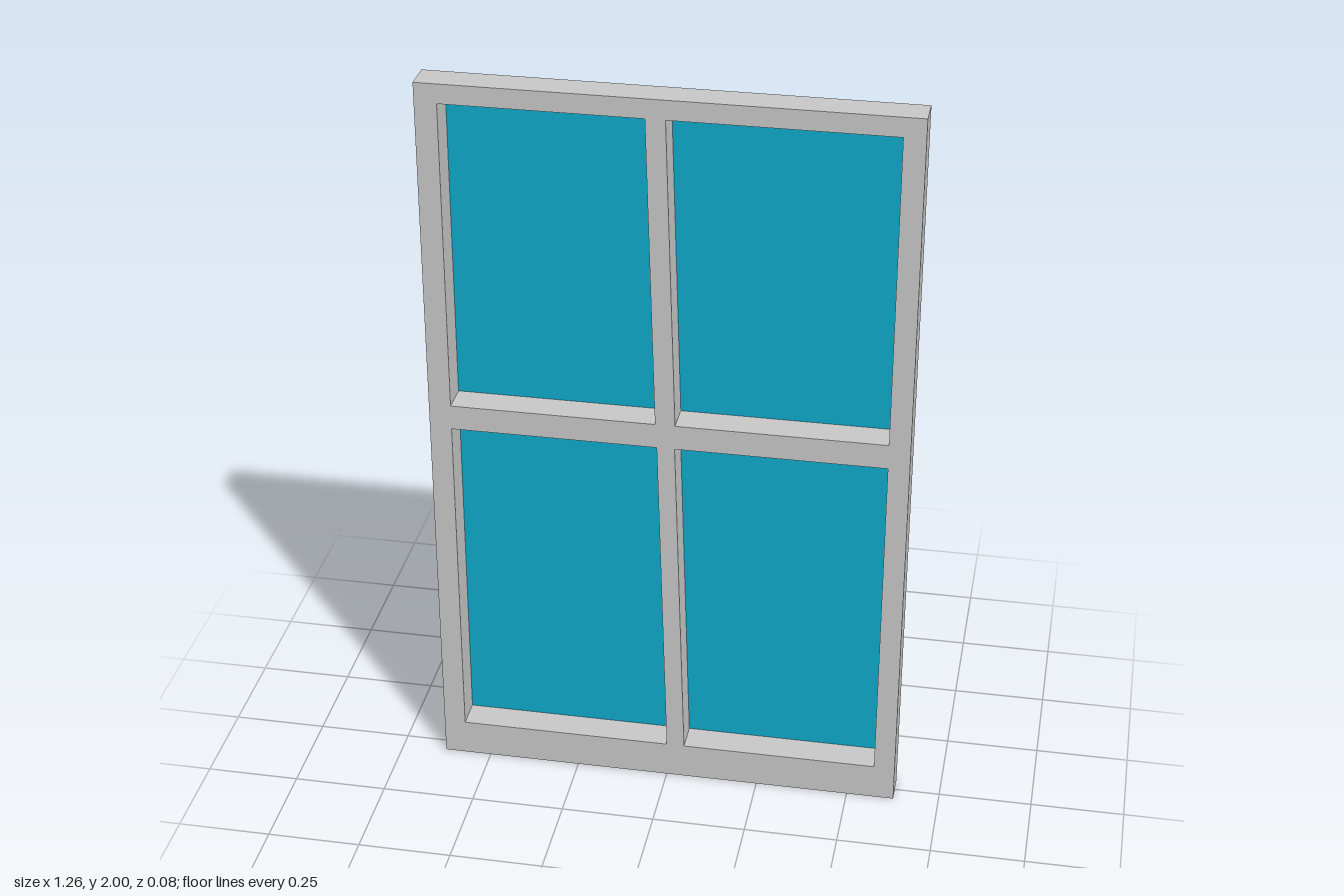
import * as THREE from 'three';

const HALF_DEPTH = 0.042;

// Pane corners: bottom left, bottom right, top right, top left
const PANES = {
  upperRightPane: [[-0.57, 1.105], [-0.03, 1.105], [-0.053, 1.948], [-0.57, 1.948]],
  upperLeftPane: [[0.022, 1.105], [0.572, 1.105], [0.572, 1.948], [-0.002, 1.948]],
  lowerRightPane: [[-0.57, 0.1], [0, 0.1], [-0.026, 1.037], [-0.57, 1.037]],
  lowerLeftPane: [[0.048, 0.1], [0.572, 0.1], [0.572, 1.037], [0.021, 1.037]],
};

const toPoints = (corners) => corners.map(([x, y]) => new THREE.Vector2(x, y));

export function createModel() {
  const group = new THREE.Group();
  group.name = 'window';

  const frameMaterial = new THREE.MeshStandardMaterial({ color: 0xc8c8c8 });
  frameMaterial.name = 'light grey frame';
  const glassMaterial = new THREE.MeshStandardMaterial({ color: 0x0eaacc, side: THREE.DoubleSide });
  glassMaterial.name = 'blue glass';

  // Frame with slanted middle bar, cut out around the four panes
  const outline = new THREE.Shape(toPoints([[-0.628, 0], [0.628, 0], [0.628, 2], [-0.628, 2]]));
  for (const corners of Object.values(PANES)) {
    outline.holes.push(new THREE.Path(toPoints(corners)));
  }
  const frameGeometry = new THREE.ExtrudeGeometry(outline, { depth: 2 * HALF_DEPTH, bevelEnabled: false });
  frameGeometry.translate(0, 0, -HALF_DEPTH);
  const frame = new THREE.Mesh(frameGeometry, frameMaterial);
  frame.name = 'frame';
  group.add(frame);

  // Glass panes, flush with the back of the frame
  for (const [name, corners] of Object.entries(PANES)) {
    const pane = new THREE.Mesh(new THREE.ShapeGeometry(new THREE.Shape(toPoints(corners))), glassMaterial);
    pane.name = name;
    pane.position.z = -HALF_DEPTH;
    group.add(pane);
  }

  return group;
}
